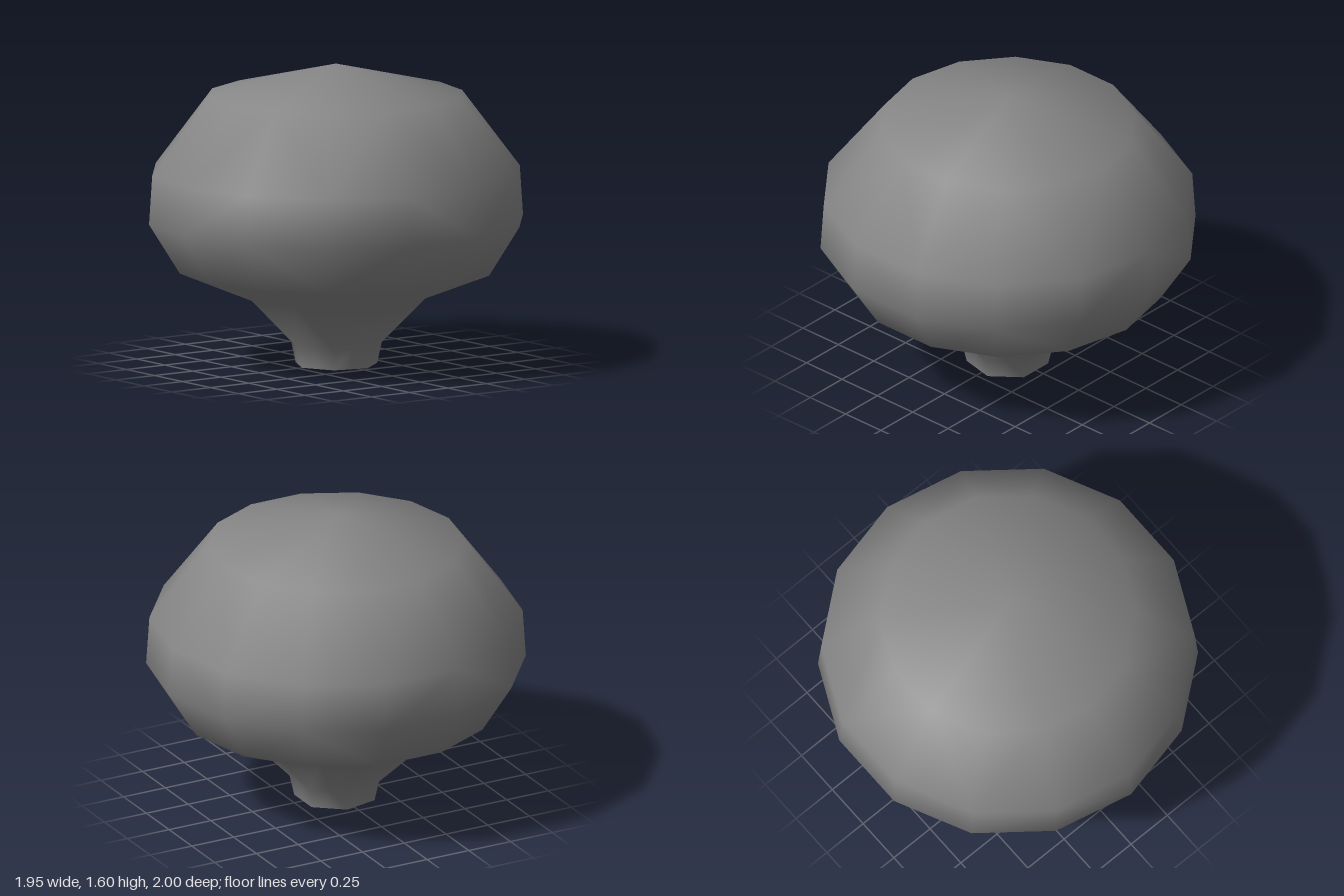
import * as THREE from 'three';

const SIDES = 14;

// Height and radius of each ring; the stem rings are seven-sided.
const RINGS = [
  { y: 0, r: 0.22, stem: true },
  { y: 0.11, r: 0.245, stem: true },
  { y: 0.375, r: 0.52, stem: true },
  { y: 0.505, r: 0.835 },
  { y: 0.77, r: 1 },
  { y: 1.03, r: 0.983 },
  { y: 1.44, r: 0.675 },
];
const APEX = { y: 1.6, r: 0 };

// Outward direction (radial, up) of the profile between two rings.
const slope = (a, b) => new THREE.Vector2(b.y - a.y, a.r - b.r).normalize();

function bodyGeometry() {
  const pos = [], normal = [], index = [];
  const profile = [...RINGS, APEX];
  RINGS.forEach((ring, k) => {
    // Round smooth normals, averaged from the profile above and below.
    const n = slope(ring, profile[k + 1]);
    if (k > 0) n.add(slope(profile[k - 1], ring)).normalize();
    for (let i = 0; i < SIDES; i++) {
      const a = (i / SIDES) * Math.PI * 2;
      // Odd points of a stem ring sit at the middle of a seven-sided edge.
      const d = ring.stem && i % 2 ? ring.r * Math.cos(Math.PI / 7) : ring.r;
      pos.push(d * Math.sin(a), ring.y, d * Math.cos(a));
      normal.push(n.x * Math.sin(a), n.y, n.x * Math.cos(a));
    }
  });
  // Walls, with diagonals mirrored so each stem edge fans out to the crown.
  for (let k = 0; k < RINGS.length - 1; k++) {
    for (let i = 0; i < SIDES; i++) {
      const p = k * SIDES + i, q = k * SIDES + (i + 1) % SIDES;
      const u = p + SIDES, v = q + SIDES;
      if (i % 2) index.push(p, q, u, q, v, u);
      else index.push(p, q, v, p, v, u);
    }
  }
  // Shallow pointed top.
  const apex = pos.length / 3, last = (RINGS.length - 1) * SIDES;
  pos.push(0, APEX.y, 0);
  normal.push(0, 1, 0);
  for (let i = 0; i < SIDES; i++) index.push(last + i, last + (i + 1) % SIDES, apex);

  const geo = new THREE.BufferGeometry();
  geo.setAttribute('position', new THREE.Float32BufferAttribute(pos, 3));
  geo.setAttribute('normal', new THREE.Float32BufferAttribute(normal, 3));
  geo.setIndex(index);
  return geo;
}

export function createModel() {
  const group = new THREE.Group();
  group.name = 'bulbousKnob';
  const material = new THREE.MeshStandardMaterial({ color: 0x868686 });

  const body = new THREE.Mesh(bodyGeometry(), material);
  body.name = 'crownAndStem';
  group.add(body);

  // Flat underside of the stem.
  const capGeo = new THREE.CircleGeometry(RINGS[0].r, 7, Math.PI / 2);
  capGeo.rotateX(Math.PI / 2);
  const cap = new THREE.Mesh(capGeo, material);
  cap.name = 'stemBase';
  group.add(cap);

  return group;
}
